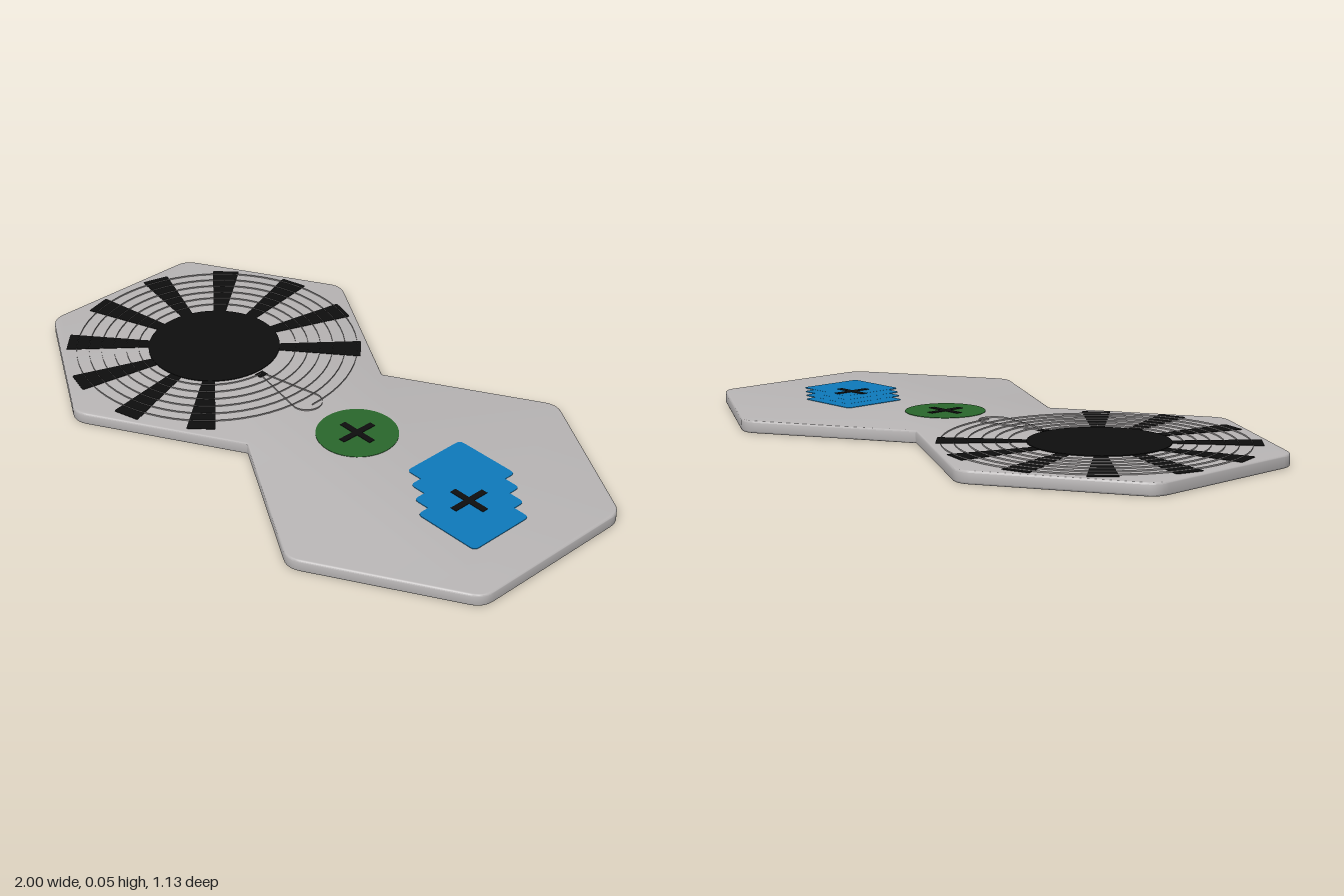
import * as THREE from 'three';
import { toCreasedNormals } from 'three/addons/utils/BufferGeometryUtils.js';

const TOP = 0.04;      // plate surface height
const DECAL = 0.0015;  // painted detail thickness
const HUB = -0.5;      // x of the sunburst centre

const mat = (name, color, side = THREE.FrontSide) => {
  const m = new THREE.MeshStandardMaterial({ color, side });
  m.name = name;
  return m;
};

// Polygon with the listed corners rounded off by distance r
function roundedShape(points, r, sharp = () => false) {
  const pts = points.map(([x, y]) => new THREE.Vector2(x, y));
  const shape = new THREE.Shape();
  pts.forEach((p, i) => {
    const prev = pts[(i + pts.length - 1) % pts.length];
    const next = pts[(i + 1) % pts.length];
    const cut = sharp(p) ? 0.004 : r;
    const a = p.clone().add(prev.clone().sub(p).setLength(cut));
    const b = p.clone().add(next.clone().sub(p).setLength(cut));
    if (i === 0) shape.moveTo(a.x, a.y);
    else shape.lineTo(a.x, a.y);
    shape.quadraticCurveTo(p.x, p.y, b.x, b.y);
  });
  shape.closePath();
  return shape;
}

// Lay an extruded shape flat, shape y pointing to -z
function flat(shape, depth, y) {
  const g = new THREE.ExtrudeGeometry(shape, { depth, bevelEnabled: false, curveSegments: 5 });
  return g.rotateX(-Math.PI / 2).translate(0, y, 0);
}

// Open vertical strip standing on the plate along a list of [x, z]
function ridge(path, height) {
  const pos = [], idx = [];
  path.forEach(([x, z], i) => {
    pos.push(x, TOP - 0.001, z, x, TOP + height, z);
    if (i > 0) {
      const k = i * 2;
      idx.push(k - 2, k, k - 1, k, k + 1, k - 1);
    }
  });
  const g = new THREE.BufferGeometry();
  g.setAttribute('position', new THREE.Float32BufferAttribute(pos, 3));
  g.setIndex(idx);
  g.computeVertexNormals();
  return g;
}

export function createModel() {
  const root = new THREE.Group();
  root.name = 'hexagonPanel';
  const grey = mat('plateGrey', 0xb8b5b5);
  const ridgeGrey = mat('ridgeGrey', 0x8f8c8c, THREE.DoubleSide);
  const black = mat('black', 0x0e0e0e);
  const green = mat('green', 0x2a672c);
  const blue = mat('blue', 0x0e79ba);

  const add = (name, geometry, material, parent = root) => {
    const mesh = new THREE.Mesh(geometry, material);
    mesh.name = name;
    parent.add(mesh);
    return mesh;
  };

  // Double hexagon plate with softened rims
  const h = 0.289, p = 0.577, bevel = 0.006;
  const outline = roundedShape(
    [[1, -h], [1, h], [0.5, p], [0, h], [-0.5, p], [-1, h], [-1, -h], [-0.5, -p], [0, -h], [0.5, -p]],
    0.04, (v) => v.x === 0);
  const plate = new THREE.ExtrudeGeometry(outline, {
    depth: TOP - 2 * bevel, bevelSize: bevel, bevelThickness: bevel,
    bevelOffset: -bevel, bevelSegments: 3, curveSegments: 6,
  });
  plate.rotateX(-Math.PI / 2).translate(0, bevel, 0);
  add('plate', toCreasedNormals(plate, 0.6), grey);

  // Sunburst: hub disc, pointer tab and ten rays
  const burst = new THREE.Group();
  burst.name = 'sunburst';
  root.add(burst);
  const hub = new THREE.CylinderGeometry(0.217, 0.217, 0.003, 64);
  add('hubDisc', hub.translate(HUB, TOP + 0.0015, 0), black, burst);
  const tab = new THREE.BoxGeometry(0.026, DECAL, 0.032);
  add('pointerTab', tab.translate(HUB + 0.237, TOP + DECAL / 2, 0), black, burst);
  const half = THREE.MathUtils.degToRad(5.4);
  for (let k = 1; k < 11; k++) {
    const a = THREE.MathUtils.degToRad(15 + 30 * k);
    const at = (r, s) => [HUB + r * Math.cos(a + s * half), r * Math.sin(a + s * half)];
    const ray = roundedShape([at(0.2, -1), at(0.488, -1), at(0.488, 1), at(0.2, 1)], 0.006);
    add('ray', flat(ray, DECAL, TOP), black, burst);
  }

  // Fine spiral ridge around the hub
  const spiral = [];
  const turns = 6, steps = 64;
  for (let i = 0; i <= turns * steps; i++) {
    const a = (i / steps) * Math.PI * 2;
    const r = 0.235 + (0.245 * i) / (turns * steps);
    spiral.push([HUB + r * Math.cos(a), r * Math.sin(a)]);
  }
  add('spiralRidge', ridge(spiral, 0.005), ridgeGrey, burst);

  // Teardrop loop running from the tab to the plate's middle
  const loop = [[-0.25, 0.008]];
  for (let i = 0; i <= 24; i++) {
    const a = Math.PI * (0.55 - (1.1 * i) / 24);
    loop.push([-0.045 + 0.05 * Math.cos(a), 0.05 * Math.sin(a)]);
  }
  loop.push([-0.25, -0.008]);
  add('loopRidge', ridge(loop, 0.005), ridgeGrey, burst);

  // Plus mark made of two crossing bars
  const plus = (x, y) => {
    const w = 0.0665, t = 0.011;
    const mark = new THREE.Shape([
      [w, -t], [w, t], [t, t], [t, w], [-t, w], [-t, t],
      [-w, t], [-w, -t], [-t, -t], [-t, -w], [t, -w], [t, -t],
    ].map(([a, b]) => new THREE.Vector2(a, b)));
    add('plusMark', flat(mark, DECAL, y), black).position.x = x;
  };

  // Green round pad
  const pad = new THREE.CylinderGeometry(0.13, 0.13, DECAL, 48);
  add('greenPad', pad.translate(0.187, TOP + DECAL / 2, 0), green);
  plus(0.187, TOP + DECAL);

  // Blue pad: four staggered rounded squares
  const s = 0.115;
  const square = roundedShape([[s, -s], [s, s], [-s, s], [-s, -s]], 0.018);
  for (let i = 0; i < 4; i++) {
    const tile = add('blueTile', flat(square, DECAL + i * 0.0002, TOP), blue);
    tile.position.set(0.548 + 0.0585 * i, 0, -0.087 + 0.0435 * i);
  }
  plus(0.665, TOP + DECAL + 0.0007);

  return root;
}
